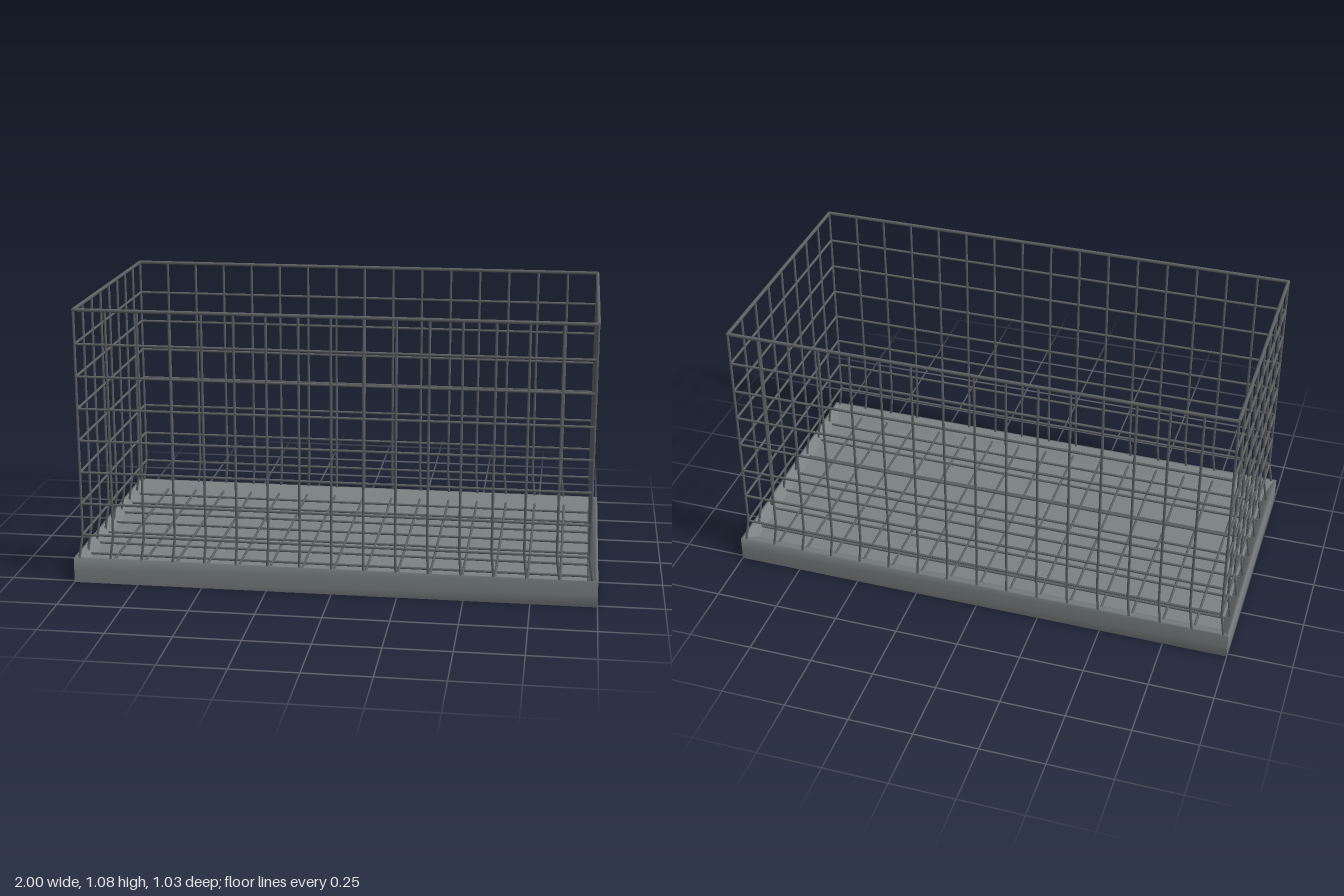
import * as THREE from 'three';

const panMat = new THREE.MeshStandardMaterial({ color: 0x7b8183 });
panMat.name = 'pan grey';
const wireMat = new THREE.MeshStandardMaterial({ color: 0x5c6162 });
wireMat.name = 'wire grey';

// Straight round wire between two points
function wire(parent, name, a, b, r) {
  const from = new THREE.Vector3(...a), dir = new THREE.Vector3(...b).sub(from);
  const mesh = new THREE.Mesh(new THREE.CylinderGeometry(r, r, dir.length(), 8), wireMat);
  mesh.position.copy(from).addScaledVector(dir, 0.5);
  mesh.quaternion.setFromUnitVectors(new THREE.Vector3(0, 1, 0), dir.normalize());
  mesh.name = name;
  parent.add(mesh);
}

// Rectangular rings [halfX, halfZ, y] joined side by side, smooth along the profile
function panSides(rings) {
  const corners = [[-1, 1], [1, 1], [1, -1], [-1, -1]];
  const pos = [], index = [];
  for (let k = 0; k < 4; k++) {
    const base = pos.length / 3;
    rings.forEach(([hx, hz, y], i) => {
      for (const [sx, sz] of [corners[k], corners[(k + 1) % 4]]) pos.push(sx * hx, y, sz * hz);
      if (i === rings.length - 1) return;
      const a = base + i * 2;
      index.push(a, a + 1, a + 3, a, a + 3, a + 2);
    });
  }
  const geo = new THREE.BufferGeometry();
  geo.setAttribute('position', new THREE.Float32BufferAttribute(pos, 3));
  geo.setIndex(index);
  geo.computeVertexNormals();
  return geo;
}

export function createModel() {
  const model = new THREE.Group();
  model.name = 'wireCage';

  // Shallow pan with a raised floor
  const pan = new THREE.Group();
  pan.name = 'pan';
  const sides = new THREE.Mesh(panSides([
    [0.96, 0.44, 0.055], [0.992, 0.507, 0.002], [1, 0.515, 0], [1, 0.515, 0.05],
    [1, 0.515, 0.1], [0.99, 0.505, 0.1], [0.96, 0.44, 0.063],
  ]), panMat);
  sides.name = 'panSides';
  const floor = new THREE.Mesh(new THREE.BoxGeometry(1.92, 0.008, 0.88), panMat);
  floor.position.y = 0.059;
  floor.name = 'panFloor';
  pan.add(sides, floor);
  model.add(pan);

  // Wire walls, flared out below the lowest hoop
  const X = 0.965, Z = 0.5, FX = 0.983, FZ = 0.509;
  const bend = 0.19, base = 0.072, top = 1.07, r = 0.005;
  const uprights = new THREE.Group();
  uprights.name = 'uprights';
  const upright = (u, v) => {
    wire(uprights, 'upright', [u * X, bend, v * Z], [u * X, top, v * Z], r);
    wire(uprights, 'flaredFoot', [u * FX, base, v * FZ], [u * X, bend, v * Z], r);
  };
  for (let i = -8; i <= 8; i++) for (const s of [-1, 1]) upright(i / 8, s);
  for (let j = -3; j <= 3; j++) for (const s of [-1, 1]) upright(s, j / 4);
  model.add(uprights);

  // Horizontal hoops and the thicker top rail
  const hoops = new THREE.Group();
  hoops.name = 'hoops';
  const hoop = (name, y, rad, hx, hz) => {
    for (const s of [-1, 1]) {
      wire(hoops, name, [-hx, y, s * hz], [hx, y, s * hz], rad);
      wire(hoops, name, [s * hx, y, -hz], [s * hx, y, hz], rad);
    }
  };
  for (let k = 0; k < 7; k++) hoop('hoop', bend + k * 0.125, r, X, Z);
  hoop('topRail', top, 0.007, X, Z);
  hoop('bottomHoop', base, r, FX, FZ);
  model.add(hoops);

  // Wire grid lying on the pan floor
  const grid = new THREE.Group();
  grid.name = 'floorGrid';
  for (let i = -7; i <= 7; i++) wire(grid, 'crossWire', [i / 8 * FX, base, -FZ], [i / 8 * FX, base, FZ], r);
  for (let j = -3; j <= 3; j++) wire(grid, 'longWire', [-FX, base, j / 4 * FZ], [FX, base, j / 4 * FZ], r);
  model.add(grid);

  return model;
}
